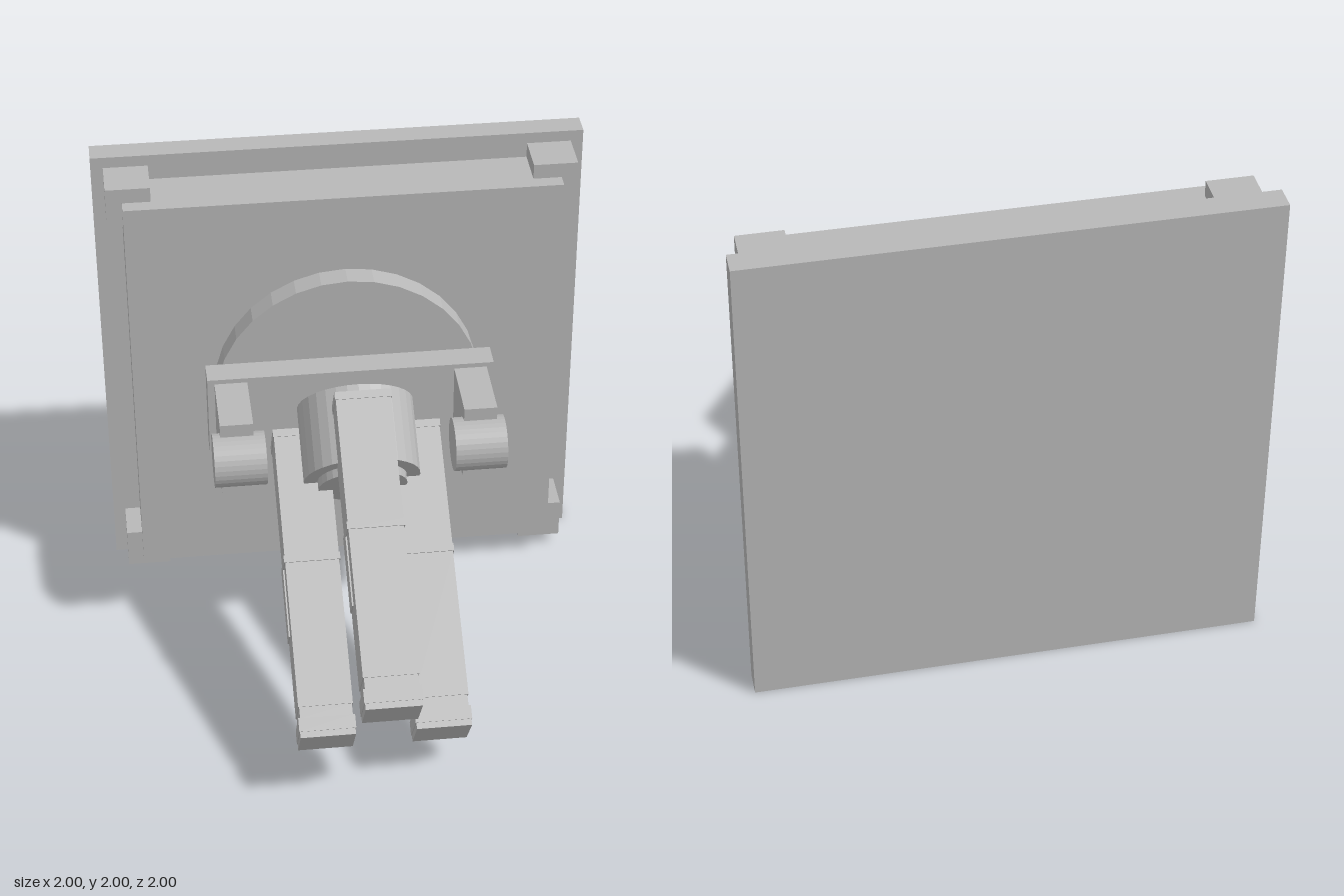
import * as THREE from 'three';

export function createModel() {
  const root = new THREE.Group();
  root.name = 'wallTurret';
  const grey = new THREE.MeshStandardMaterial({ color: 0xb8b8b8, flatShading: true });
  grey.name = 'grey';

  const add = (parent, name, geometry) => {
    const mesh = new THREE.Mesh(geometry, grey);
    mesh.name = name;
    parent.add(mesh);
    return mesh;
  };
  // Box given by its limits on each axis
  const box = (parent, name, x0, x1, y0, y1, z0, z1) =>
    add(parent, name, new THREE.BoxGeometry(x1 - x0, y1 - y0, z1 - z0))
      .position.set((x0 + x1) / 2, (y0 + y1) / 2, (z0 + z1) / 2);
  // Cylinder along z between z0 and z1
  const drum = (parent, name, r, y, z0, z1) => {
    const g = new THREE.CylinderGeometry(r, r, z1 - z0, 32).rotateX(Math.PI / 2);
    add(parent, name, g).position.set(0, y, (z0 + z1) / 2);
  };

  // Wall plates and corner blocks
  box(root, 'backPlate', -1, 1, 0, 2, -1, -0.9);
  box(root, 'frontPlate', -0.885, 0.885, 0.12, 1.89, -0.9, -0.665);
  for (const s of [-1, 1]) {
    for (const y of [0.055, 1.78]) {
      box(root, 'cornerBlock', s * 0.86 - 0.09, s * 0.86 + 0.09, y, y + 0.173, -0.9, -0.725);
    }
  }

  // Turntable and yoke
  drum(root, 'turntable', 0.55, 1.005, -0.665, -0.57);
  box(root, 'yokePlate', -0.588, 0.588, 0.82, 1.19, -0.57, -0.46);
  for (const s of [-1, 1]) {
    box(root, 'yokeArm', s * 0.492 - 0.067, s * 0.492 + 0.067, 0.835, 1.17, -0.46, -0.17);
    const pin = add(root, 'pivotPin', new THREE.CylinderGeometry(0.109, 0.109, 0.21, 32).rotateZ(Math.PI / 2));
    pin.position.set(s * 0.485, 1.005, -0.165);
  }

  // Tilted gun cluster, its local z running along the barrels
  const gun = new THREE.Group();
  gun.name = 'gunCluster';
  gun.position.set(0, 1.005, -0.165);
  gun.rotation.x = THREE.MathUtils.degToRad(34.8);
  root.add(gun);
  drum(gun, 'breechDrum', 0.236, 0, -0.2, 0.115);
  drum(gun, 'breechBoss', 0.18, 0, 0.115, 0.15);

  // Barrel sections: start, end, half thickness
  const sections = [
    ['breechCap', -0.122, -0.09, 0.112],
    ['rearBody', -0.09, 0.41, 0.109],
    ['middleBand', 0.41, 0.44, 0.113],
    ['frontBody', 0.44, 1.03, 0.108],
    ['muzzleNeck', 1.03, 1.075, 0.104],
    ['muzzleBand', 1.075, 1.13, 0.112],
    ['muzzleTip', 1.13, 1.155, 0.109],
  ];
  for (const [name, x, y] of [['topBarrel', 0, 0.268], ['rightBarrel', -0.229, -0.132], ['leftBarrel', 0.229, -0.132]]) {
    const barrel = new THREE.Group();
    barrel.name = name;
    barrel.position.set(x, y, 0);
    gun.add(barrel);
    for (const [part, z0, z1, h] of sections) box(barrel, part, -h, h, -h, h, z0, z1);
    // Raised panels on both flanks
    for (const s of [-1, 1]) {
      box(barrel, 'sidePanel', s * 0.11 - 0.004, s * 0.11 + 0.004, -0.1, 0.01, 0.44, 0.72);
    }
  }
  return root;
}
